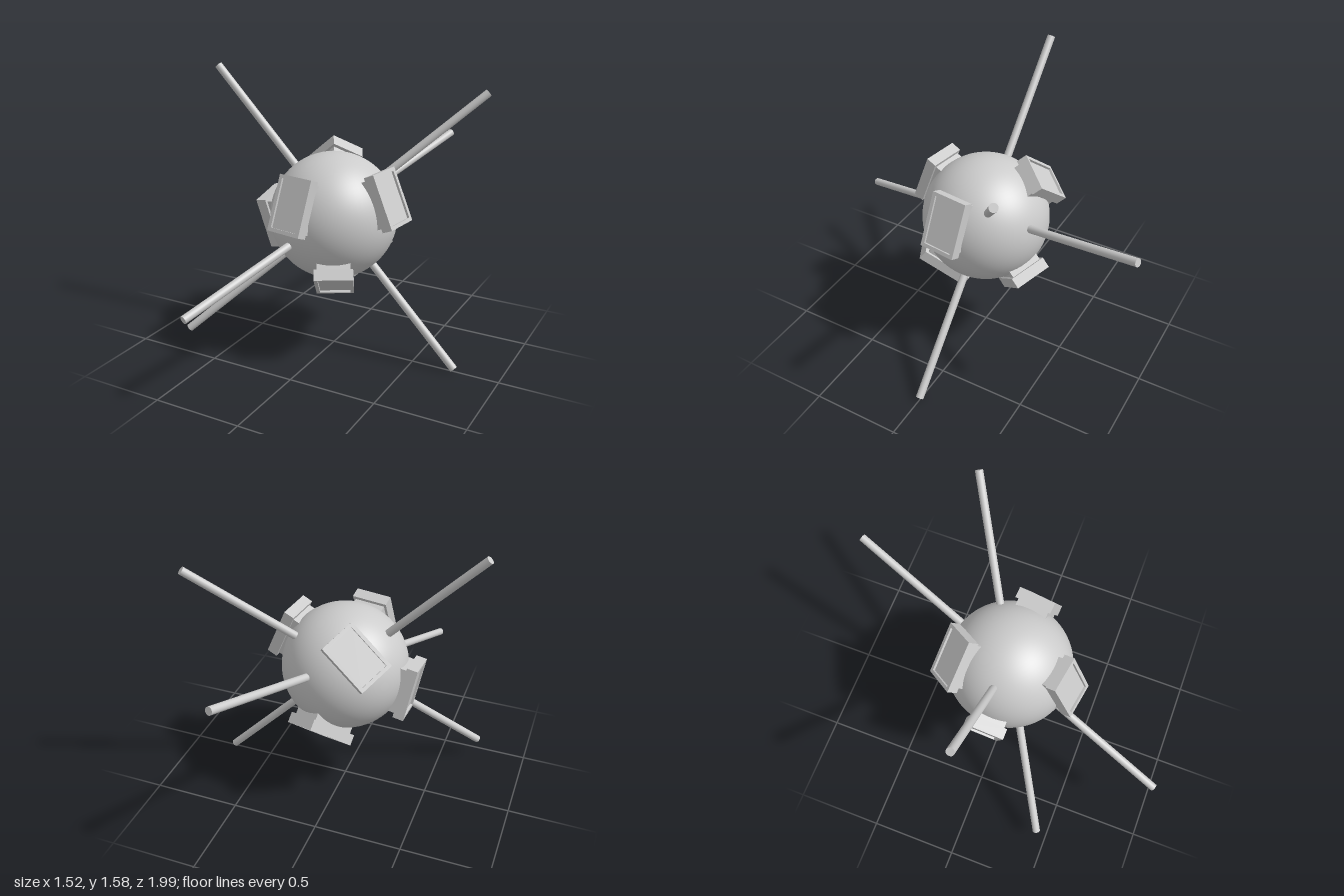
import * as THREE from 'three';

const CENTRE_Y = 0.806, RADIUS = 0.355, ROD_END = 1.075;

const grey = new THREE.MeshStandardMaterial({ color: 0xcccccc });

function part(name, geometry, parent) {
  const mesh = new THREE.Mesh(geometry, grey);
  mesh.name = name;
  parent.add(mesh);
  return mesh;
}

// Straight rod from inside the ball outwards along a direction
function addRod(parent, dir) {
  const d = new THREE.Vector3(...dir).normalize();
  const start = RADIUS * 0.8;
  const rod = part('rod', new THREE.CylinderGeometry(0.022, 0.022, ROD_END - start, 20), parent);
  rod.position.copy(d).multiplyScalar((ROD_END + start) / 2);
  rod.quaternion.setFromUnitVectors(new THREE.Vector3(0, 1, 0), d);
}

// Rectangular frame with an opening, extruded along +z
function frameGeometry(w, h, border, depth) {
  const rect = (Type, a, b) => new Type([
    new THREE.Vector2(-a, -b), new THREE.Vector2(a, -b),
    new THREE.Vector2(a, b), new THREE.Vector2(-a, b)]);
  const shape = rect(THREE.Shape, w / 2, h / 2);
  shape.holes.push(rect(THREE.Path, w / 2 - border, h / 2 - border));
  return new THREE.ExtrudeGeometry(shape, { depth, bevelEnabled: false });
}

// Framed panel: local z points away from the ball, local y is the long side
function addPanel(parent, normal, up) {
  const z = new THREE.Vector3(...normal).normalize();
  const x = new THREE.Vector3(...up).cross(z).normalize();
  const y = z.clone().cross(x);
  const panel = new THREE.Group();
  panel.name = 'panel';
  panel.quaternion.setFromRotationMatrix(new THREE.Matrix4().makeBasis(x, y, z));
  const w = 0.21, h = 0.305;
  part('panelMount', new THREE.BoxGeometry(0.18, 0.265, 0.07), panel).position.z = 0.325;
  part('panelBody', new THREE.BoxGeometry(w, h, 0.048), panel).position.z = 0.378;
  part('panelFrame', frameGeometry(w, h, 0.02, 0.013), panel).position.z = 0.402;
  parent.add(panel);
}

export function createModel() {
  const model = new THREE.Group();
  model.name = 'ballWithRodsAndPanels';
  const body = new THREE.Group();
  body.name = 'body';
  body.position.y = CENTRE_Y;
  model.add(body);

  part('ball', new THREE.SphereGeometry(RADIUS, 64, 40), body);

  // Three axes, each with a rod at both ends
  const axes = [[0.745, -0.777, 0], [0.71, 0.675, -0.44], [0.305, 0.295, -0.985]];
  for (const a of axes) {
    addRod(body, a);
    addRod(body, a.map((v) => -v));
  }

  // Panels: outward direction and direction of the long side
  const panels = [
    [[-0.15, 0.37, 0.92], [0, 1, 0]],
    [[0.29, -0.80, 0.53], [-0.03, 1, 0]],
    [[0.91, 0.40, 0.11], [0, 1, 0]],
    [[-0.40, 0.62, -0.68], [0.763, 0.633, 0.13]],
    [[-0.98, -0.17, -0.02], [-0.13, 0.95, 0.2]],
    [[0.12, -0.71, -0.69], [0.54, 0.64, -0.555]],
  ];
  for (const [normal, up] of panels) addPanel(body, normal, up);

  return model;
}
